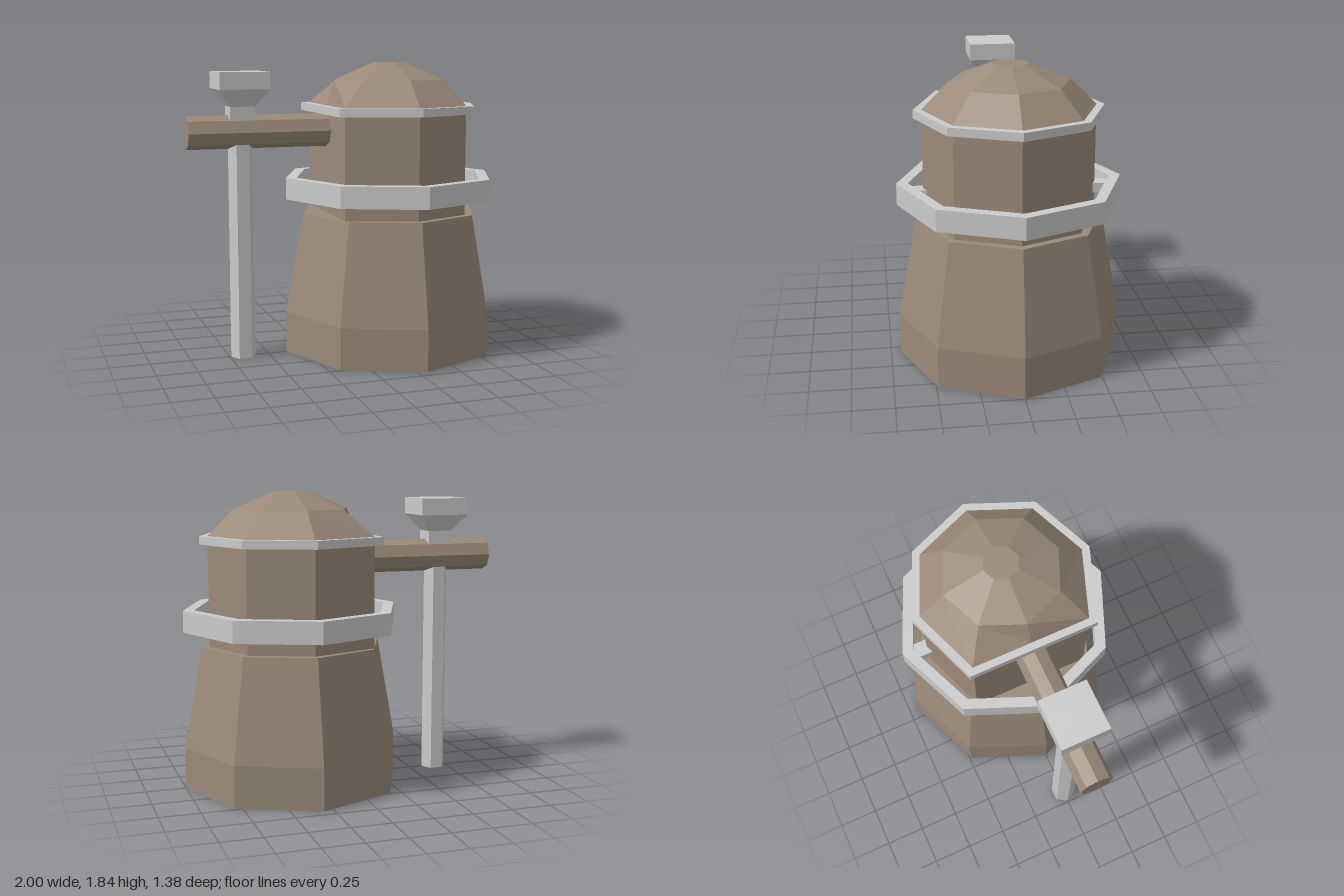
import * as THREE from 'three';

const brown = new THREE.MeshStandardMaterial({ color: 0x9b8a79, flatShading: true });
const grey = new THREE.MeshStandardMaterial({ color: 0xcccccc, flatShading: true });

// Faceted solid through levels [radius, y, leftLimit?]; leftLimit flattens the -x side.
function loft(levels, { sides = 8, turn = 0, caps = true } = {}) {
  const pos = [];
  const corner = ([r, y, left], k) => {
    const a = turn + (k / sides) * Math.PI * 2;
    let x = r * Math.cos(a);
    if (left !== undefined && x < -r * 0.5) x = left;
    return [x, y, r * Math.sin(a)];
  };
  const tri = (...pts) => pts.forEach((p) => pos.push(...p));
  const bottom = levels[0], top = levels[levels.length - 1];
  for (let k = 0; k < sides; k++) {
    for (let i = 0; i < levels.length - 1; i++) {
      const a = corner(levels[i], k), b = corner(levels[i + 1], k);
      const c = corner(levels[i + 1], k + 1), d = corner(levels[i], k + 1);
      tri(a, b, c);
      tri(a, c, d);
    }
    if (caps) {
      tri([0, top[1], 0], corner(top, k + 1), corner(top, k));
      tri([0, bottom[1], 0], corner(bottom, k), corner(bottom, k + 1));
    }
  }
  const g = new THREE.BufferGeometry();
  g.setAttribute('position', new THREE.Float32BufferAttribute(pos, 3));
  g.computeVertexNormals();
  return g;
}

function add(parent, name, geometry, material, x = 0, y = 0, z = 0) {
  const mesh = new THREE.Mesh(geometry, material);
  mesh.name = name;
  mesh.position.set(x, y, z);
  parent.add(mesh);
  return mesh;
}

export function createModel() {
  const model = new THREE.Group();
  model.name = 'tower';

  // Main tower, octagonal with a corner on each axis
  const tower = new THREE.Group();
  tower.name = 'towerBody';
  tower.position.x = 0.31;
  model.add(tower);
  add(tower, 'base', loft([[0.69, 0], [0.69, 0.26], [0.575, 0.89]]), brown);
  add(tower, 'upperWall', loft([[0.525, 0.88, -0.42], [0.525, 1.53, -0.42]]), brown);
  add(tower, 'roofRim', loft([[0.575, 1.52, -0.465], [0.575, 1.57, -0.465]]), grey);
  add(tower, 'domeRoof', loft([[0.525, 1.57, -0.42], [0.365, 1.73], [0.11, 1.835]]), brown);

  // Open hoop standing clear of the wall, held by two brackets
  const hoop = [[0.685, 0.985], [0.685, 1.12], [0.615, 1.12], [0.615, 0.985], [0.685, 0.985]];
  add(tower, 'hoop', loft(hoop, { caps: false }), grey);
  for (const s of [-1, 1]) {
    add(tower, s > 0 ? 'frontBracket' : 'backBracket',
      new THREE.BoxGeometry(0.095, 0.06, 0.16), grey, 0, 1.055, s * 0.565);
  }

  // Side pipe running into the wall
  const pipe = add(model, 'sidePipe', loft([[0.103, 0], [0.103, 1.0]]), brown, 0, 1.418, 0);
  pipe.rotation.z = Math.PI / 2;

  // Supporting post and hopper on the pipe
  const hopper = new THREE.Group();
  hopper.name = 'hopperAndPost';
  hopper.position.x = -0.663;
  model.add(hopper);
  add(hopper, 'post', loft([[0.078, 0], [0.078, 1.36]], { sides: 6 }), grey);
  const q = Math.SQRT2;
  const funnel = [[0.077 * q, 1.49], [0.077 * q, 1.575], [0.155 * q, 1.68], [0.155 * q, 1.785]];
  const hopperTop = add(hopper, 'hopper', loft(funnel, { sides: 4, turn: Math.PI / 4 }), grey);
  hopperTop.scale.z = 0.96;

  return model;
}
